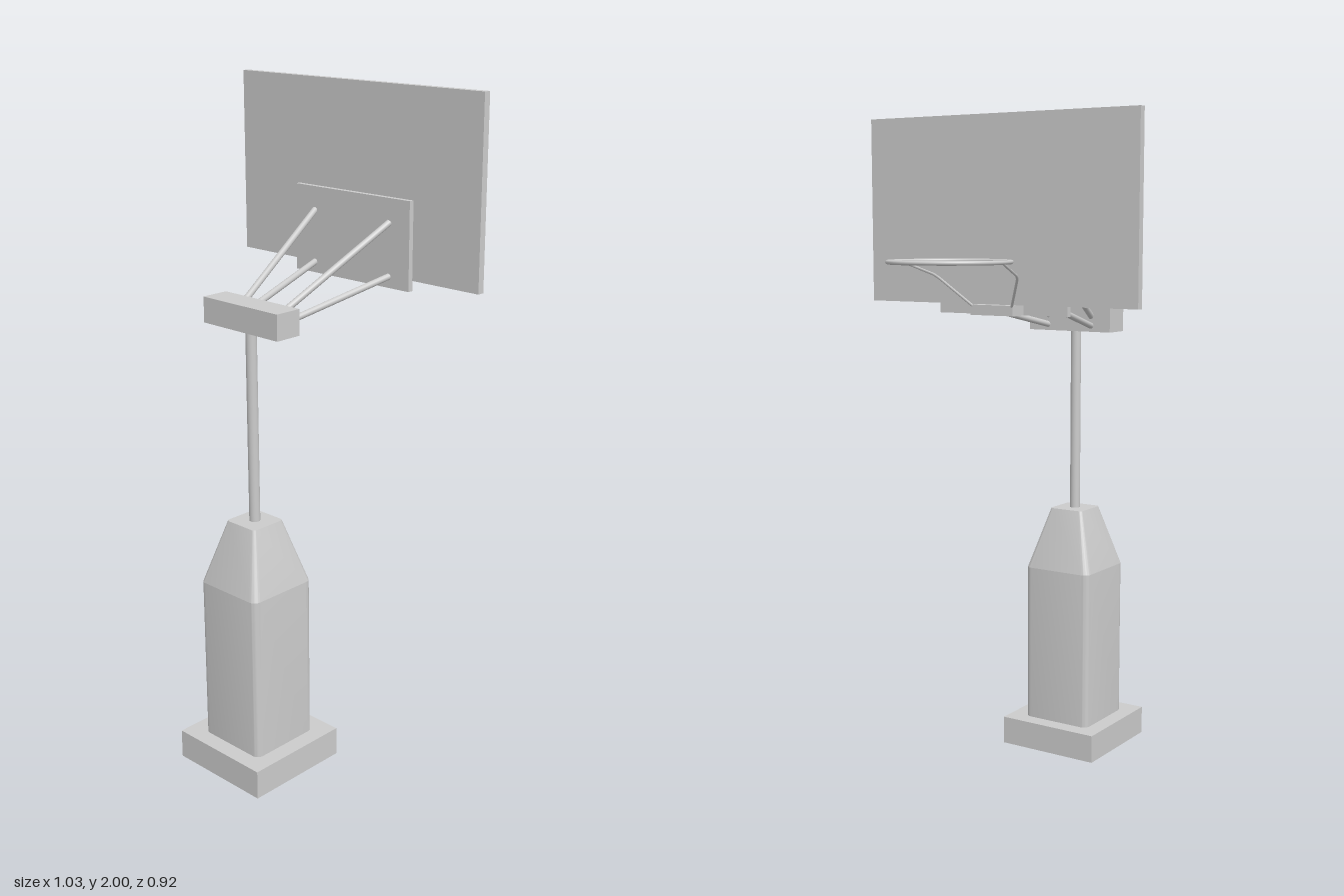
import * as THREE from 'three';
import { toCreasedNormals } from 'three/addons/utils/BufferGeometryUtils.js';

const material = new THREE.MeshStandardMaterial({ color: 0xcccccc });
const POLE_X = -0.348;
const RIM_X = 0.335, RIM_Y = 1.583, RIM_R = 0.171;

export function createModel() {
  const model = new THREE.Group();
  model.name = 'basketballHoop';

  const add = (name, geometry) => {
    const mesh = new THREE.Mesh(geometry, material);
    mesh.name = name;
    model.add(mesh);
    return mesh;
  };
  // Box from its x range, y range and half depth
  const box = (name, x0, x1, y0, y1, halfZ) =>
    add(name, new THREE.BoxGeometry(x1 - x0, y1 - y0, 2 * halfZ))
      .position.set((x0 + x1) / 2, (y0 + y1) / 2, 0);
  // Round rod between two points
  const rod = (name, a, b, radius, sides = 16) => {
    const dir = b.clone().sub(a);
    const mesh = add(name, new THREE.CylinderGeometry(radius, radius, dir.length(), sides));
    mesh.position.copy(a).add(b).multiplyScalar(0.5);
    mesh.quaternion.setFromUnitVectors(new THREE.Vector3(0, 1, 0), dir.normalize());
  };
  const v = (x, y, z) => new THREE.Vector3(x, y, z);

  // Foot, padded pedestal and pole
  box('basePlate', -0.515, -0.181, 0, 0.088, 0.167);
  add('pedestalPad', pedestalGeometry()).position.x = POLE_X;
  rod('pole', v(POLE_X, 0.77, 0), v(POLE_X, 1.36, 0), 0.016, 24);
  box('poleHead', -0.39, -0.305, 1.355, 1.43, 0.147);

  // Backboard and its mount
  box('mountPlate', 0.058, 0.075, 1.425, 1.685, 0.224);
  box('backboard', 0.074, 0.096, 1.455, 2, 0.462);

  // Rim, its tab and the bracket below the board
  box('rimBracket', 0.075, 0.131, 1.425, 1.455, 0.074);
  box('rimTab', 0.094, 0.165, RIM_Y - 0.004, RIM_Y + 0.004, 0.023);
  const rim = add('rim', new THREE.TorusGeometry(RIM_R, 0.006, 12, 64));
  rim.rotation.x = Math.PI / 2;
  rim.position.set(RIM_X, RIM_Y, 0);

  // Paired support arms and bent rim struts
  for (const [side, s] of [['left', 1], ['right', -1]]) {
    rod(side + 'UpperArm', v(-0.315, 1.4, s * 0.077), v(0.06, 1.615, s * 0.147), 0.0095);
    rod(side + 'LowerArm', v(-0.315, 1.372, s * 0.077), v(0.06, 1.458, s * 0.147), 0.0095);
    const path = new THREE.CurvePath();
    const bend = v(0.207, 1.54, s * 0.141);
    const before = v(0.196, 1.528, s * 0.131), after = v(0.222, 1.546, s * 0.145);
    path.add(new THREE.LineCurve3(v(0.122, 1.445, s * 0.063), before));
    path.add(new THREE.QuadraticBezierCurve3(before, bend, after));
    path.add(new THREE.LineCurve3(after, v(0.325, RIM_Y - 0.002, s * 0.17)));
    add(side + 'RimStrut', new THREE.TubeGeometry(path, 40, 0.004, 8));
  }
  return model;
}

// Rounded square column, straight below and tapered above
function pedestalGeometry() {
  const h = 0.116, r = 0.022, c = h - r;
  const shape = new THREE.Shape();
  [[c, c], [-c, c], [-c, -c], [c, -c]].forEach(([x, y], i) =>
    shape.absarc(x, y, r, i * Math.PI / 2, (i + 1) * Math.PI / 2, false));
  const geometry = new THREE.ExtrudeGeometry(shape, {
    depth: 2, steps: 2, bevelEnabled: false, curveSegments: 6
  });
  geometry.rotateX(-Math.PI / 2);
  const heights = [0.08, 0.59, 0.782], scales = [1, 1, 0.5];
  const p = geometry.attributes.position;
  for (let i = 0; i < p.count; i++) {
    const level = Math.round(p.getY(i));
    p.setXYZ(i, p.getX(i) * scales[level], heights[level], p.getZ(i) * scales[level]);
  }
  return toCreasedNormals(geometry, 0.3);
}
